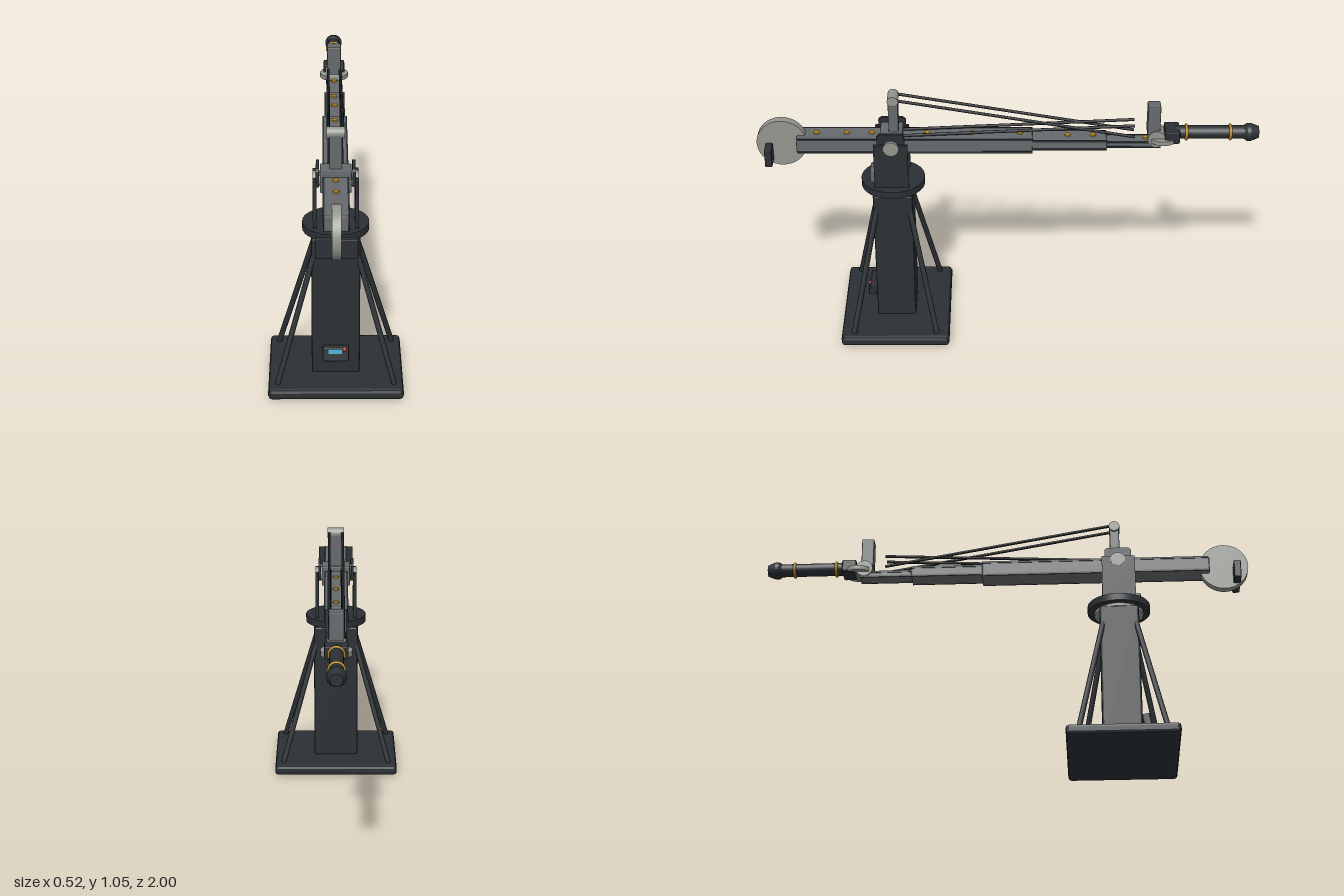
import * as THREE from 'three';
import { RoundedBoxGeometry } from 'three/addons/geometries/RoundedBoxGeometry.js';

const mat = (color, flatShading = false) => new THREE.MeshStandardMaterial({ color, flatShading });
const M = {
  dark: mat(0x2b3034), darkFlat: mat(0x2b3034, true), black: mat(0x1b1d20),
  steel: mat(0x666a6c), steelFlat: mat(0x666a6c, true), light: mat(0x95958f),
  gold: mat(0xb98a22), cyan: mat(0x45a9cc), red: mat(0xd8382c),
};
const PZ = 0.462; // z of the pedestal and pivot axis

export function createModel() {
  const root = new THREE.Group();

  const add = (name, geo, material, x, y, z, parent = root) => {
    const m = new THREE.Mesh(geo, material);
    m.name = name;
    m.position.set(x, y, z);
    parent.add(m);
    return m;
  };
  // Box given by its limits, with optional chamfer
  const box = (name, material, x0, x1, y0, y1, z0, z1, bevel = 0, parent = root) => {
    const s = [x1 - x0, y1 - y0, z1 - z0];
    const geo = bevel ? new RoundedBoxGeometry(...s, 1, bevel) : new THREE.BoxGeometry(...s);
    return add(name, geo, material, (x0 + x1) / 2, (y0 + y1) / 2, (z0 + z1) / 2, parent);
  };
  // Cylinder along a chosen axis
  const cyl = (name, material, axis, r, len, x, y, z, seg = 32, rEnd = r) => {
    const geo = new THREE.CylinderGeometry(rEnd, r, len, seg);
    if (axis === 'x') geo.rotateZ(Math.PI / 2);
    if (axis === 'z') geo.rotateX(-Math.PI / 2); // top end faces -z
    return add(name, geo, material, x, y, z);
  };
  // Round bar between two points
  const bar = (name, material, a, b, r, seg = 10) => {
    const p = new THREE.Vector3(...a), q = new THREE.Vector3(...b);
    const d = q.clone().sub(p);
    const m = add(name, new THREE.CylinderGeometry(r, r, d.length(), seg), material, 0, 0, 0);
    m.position.copy(p).add(q).multiplyScalar(0.5);
    m.quaternion.setFromUnitVectors(new THREE.Vector3(0, 1, 0), d.normalize());
  };

  // Pedestal
  box('basePlate', M.darkFlat, -0.262, 0.262, 0, 0.045, PZ - 0.222, PZ + 0.222, 0.014);
  box('column', M.darkFlat, -0.094, 0.094, 0.04, 0.627, PZ - 0.08, PZ + 0.08, 0.008);
  for (const sx of [-1, 1]) for (const sz of [-1, 1])
    bar('brace', M.dark, [sx * 0.226, 0.045, PZ + sz * 0.17], [sx * 0.082, 0.56, PZ + sz * 0.066], 0.011);

  // Control panel on the front of the column
  const panel = new THREE.Group();
  panel.name = 'controlPanel';
  panel.position.set(0, 0.14, PZ + 0.1);
  panel.rotation.x = -0.2;
  root.add(panel);
  box('panelCase', M.darkFlat, -0.051, 0.051, -0.03, 0.03, -0.018, 0.015, 0.006, panel);
  box('panelScreen', M.cyan, -0.028, 0.024, 0.002, 0.022, 0.012, 0.018, 0, panel);
  add('panelButton', new THREE.SphereGeometry(0.008, 16, 10), M.red, 0.034, 0.021, 0.016, panel);

  // Turntable and yoke
  cyl('bearingRing', M.light, 'y', 0.1, 0.016, 0, 0.63, PZ, 40);
  cyl('turntable', M.dark, 'y', 0.128, 0.03, 0, 0.65, PZ, 40);
  box('driveHousing', M.steelFlat, -0.045, 0.045, 0.66, 0.705, 0.49, 0.553, 0.005);
  for (const s of [-1, 1]) {
    const plate = box('yokePlate', M.darkFlat, -0.007, 0.007, 0.66, 0.856, PZ - 0.066, PZ + 0.07);
    plate.position.x = s * 0.08;
    const cap = new THREE.Shape([[-0.054, 0.83], [0.056, 0.83], [0.056, 0.89], [0.045, 0.9], [-0.043, 0.9], [-0.054, 0.89]]
      .map(([z, y]) => new THREE.Vector2(-z, y)));
    const capGeo = new THREE.ExtrudeGeometry(cap, { depth: 0.012, bevelEnabled: false });
    capGeo.translate(0, 0, -0.006).rotateY(Math.PI / 2);
    add('bearingCap', capGeo, M.darkFlat, s * 0.069, 0, PZ);
  }
  cyl('pivotAxle', M.light, 'x', 0.03, 0.176, 0, 0.842, PZ, 28);
  box('trunnionBlock', M.steelFlat, -0.06, 0.06, 0.8, 0.885, PZ - 0.045, PZ + 0.045, 0.005);

  // Telescopic boom: [half width, bottom, top, back, front]
  for (const [w, y0, y1, z0, z1] of [
    [0.046, 0.8, 0.865, -0.1, 0.84], [0.039, 0.808, 0.854, -0.395, 0], [0.029, 0.814, 0.842, -0.61, -0.3],
  ]) {
    box('boomSection', M.steelFlat, -w, w, y0, y1, z0, z1, 0.006);
    for (const s of [-1, 1]) // edge rails
      for (const y of [y0 + 0.004, y1 - 0.004])
        box('boomRail', M.dark, s * w - 0.003, s * w + 0.003, y - 0.004, y + 0.004, z0, z1 - 0.005);
  }
  for (const [z, y] of [[0.76, 0.865], [0.64, 0.865], [0.54, 0.865], [0.32, 0.865], [0.14, 0.865],
    [-0.05, 0.865], [-0.24, 0.854], [-0.34, 0.854], [-0.55, 0.842]])
    cyl('boomBolt', M.gold, 'y', 0.012, 0.01, 0, y + 0.002, z, 12);

  // Counterweight at the front end
  cyl('counterweightDisc', M.light, 'x', 0.1, 0.034, 0, 0.83, 0.9, 40);
  box('counterweightBlock', M.darkFlat, -0.077, 0.077, 0.753, 0.83, 0.936, 0.965, 0.004);

  // Mast and stay rods
  box('mast', M.steelFlat, -0.024, 0.024, 0.86, 1.025, 0.432, 0.472, 0.004);
  cyl('mastPulley', M.light, 'x', 0.022, 0.07, 0, 1.025, 0.452, 24);
  for (const s of [-1, 1]) {
    bar('upperStay', M.black, [s * 0.028, 1.03, 0.45], [s * 0.028, 0.863, -0.505], 0.006);
    bar('lowerStay', M.black, [s * 0.025, 0.868, 0.42], [s * 0.025, 0.912, -0.505], 0.006);
  }

  // Swivelling head
  cyl('headPivot', M.light, 'x', 0.035, 0.07, 0, 0.855, -0.593, 28);
  cyl('headSwivel', M.light, 'y', 0.06, 0.018, 0, 0.848, -0.62, 36);
  box('headPost', M.steelFlat, -0.029, 0.029, 0.87, 0.995, -0.606, -0.555, 0.004);
  box('headBlock', M.darkFlat, -0.045, 0.045, 0.838, 0.892, -0.685, -0.625, 0.006);

  // Barrel with bands and nozzle
  cyl('barrel', M.dark, 'z', 0.027, 0.28, 0, 0.869, -0.81, 28);
  for (const z of [-0.712, -0.887])
    add('barrelBand', new THREE.TorusGeometry(0.028, 0.006, 10, 32), M.gold, 0, 0.869, z);
  const tip = [[0, 0], [0.028, 0], [0.036, 0.012], [0.036, 0.026], [0.024, 0.058], [0, 0.058]]
    .map(([r, h]) => new THREE.Vector2(r, h));
  add('nozzle', new THREE.LatheGeometry(tip, 24).rotateX(-Math.PI / 2), M.darkFlat, 0, 0.869, -0.942);

  return root;
}
